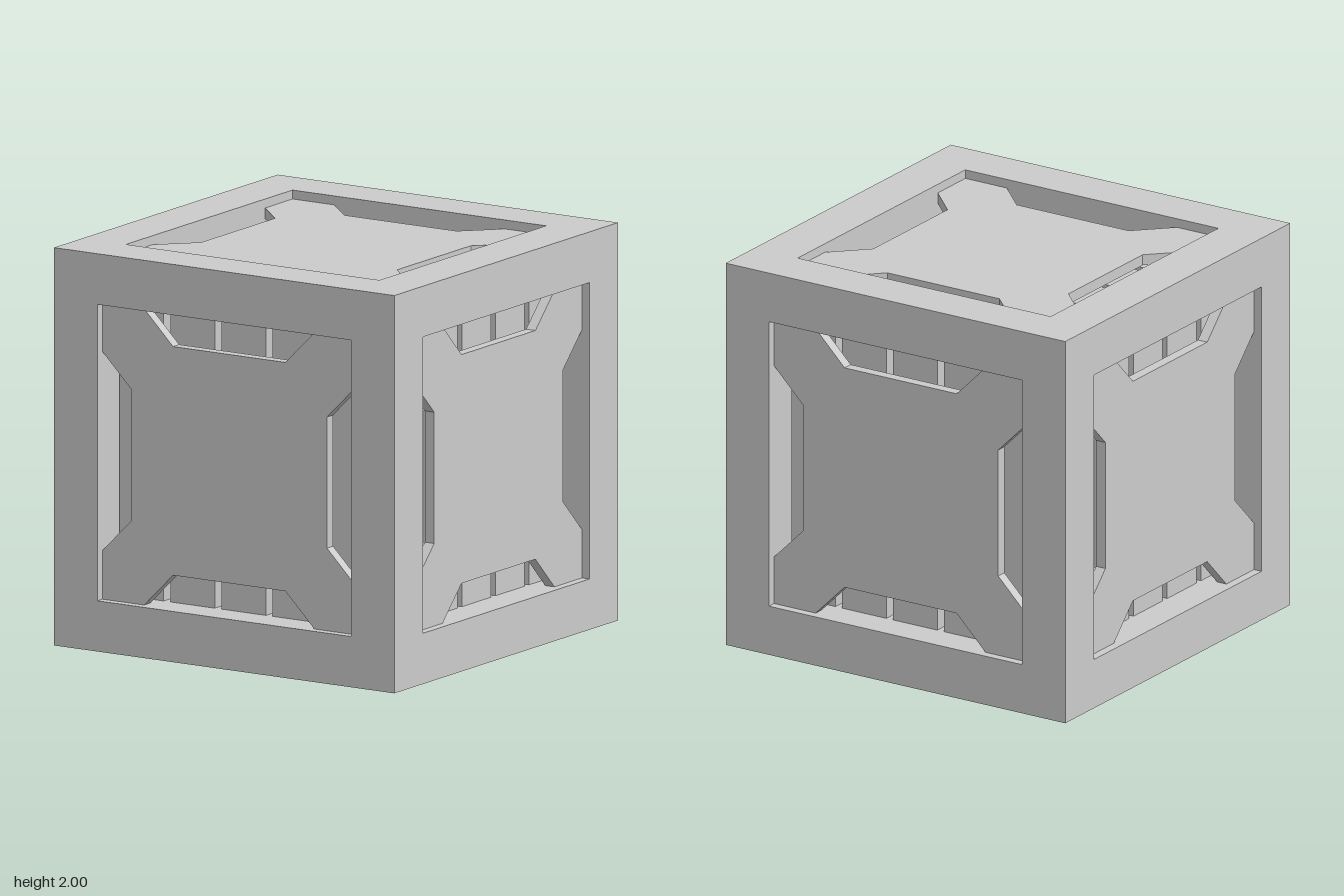
import * as THREE from 'three';

const HALF = 1;        // half size of the cube
const OPEN = 0.745;    // half size of each opening
const SLAT_TOP = 0.825; // outer surface of the slats
const PANEL_TOP = 0.955; // outer surface of the panels
const PANEL_THICK = 0.055;

const material = new THREE.MeshStandardMaterial({ color: 0xcccccc, flatShading: true });

function add(parent, name, geometry, x = 0, y = 0, z = 0) {
  const mesh = new THREE.Mesh(geometry, material);
  mesh.name = name;
  mesh.position.set(x, y, z);
  parent.add(mesh);
  return mesh;
}

function square(h, Type) {
  return new Type([[-h, -h], [h, -h], [h, h], [-h, h]].map(([x, y]) => new THREE.Vector2(x, y)));
}

// Square plate with a bevelled notch in the middle of each side
function panelShape() {
  const side = [[-OPEN, -OPEN], [-0.5, -OPEN], [-0.33, -0.575], [0.33, -0.575], [0.5, -OPEN]];
  const points = [];
  for (let i = 0; i < 4; i++) {
    for (const [x, y] of side) {
      points.push(new THREE.Vector2(x, y).rotateAround(new THREE.Vector2(), i * Math.PI / 2));
    }
  }
  return new THREE.Shape(points);
}

// One side of the crate, facing +z, with upright slats
function buildSide(name) {
  const side = new THREE.Group();
  side.name = name;

  // Flat border around the opening
  const ring = square(HALF, THREE.Shape);
  ring.holes.push(square(OPEN, THREE.Path));
  add(side, 'frameBorder', new THREE.ShapeGeometry(ring), 0, 0, HALF);

  // Inner walls of the opening
  const depth = HALF - OPEN;
  for (let i = 0; i < 4; i++) {
    const wall = new THREE.PlaneGeometry(2 * OPEN, depth);
    wall.rotateX(-Math.PI / 2).translate(0, -OPEN, HALF - depth / 2).rotateZ(i * Math.PI / 2);
    add(side, 'frameWall', wall);
  }

  // Slats behind the panel
  for (let i = -2; i <= 2; i++) {
    add(side, 'slat', new THREE.BoxGeometry(0.26, 2 * OPEN, SLAT_TOP - OPEN),
      i * 0.3, 0, (SLAT_TOP + OPEN) / 2);
  }

  // Notched cover panel
  add(side, 'panel', new THREE.ExtrudeGeometry(panelShape(), { depth: PANEL_THICK, bevelEnabled: false }),
    0, 0, PANEL_TOP - PANEL_THICK);
  return side;
}

export function createModel() {
  const crate = new THREE.Group();
  crate.name = 'crate';
  const body = new THREE.Group();
  body.name = 'body';
  body.position.y = HALF;
  crate.add(body);

  // Solid core closing the gaps between slats
  add(body, 'core', new THREE.BoxGeometry(2 * OPEN, 2 * OPEN, 2 * OPEN));

  // Four upright sides
  ['frontSide', 'leftSide', 'backSide', 'rightSide'].forEach((name, i) => {
    const side = buildSide(name);
    side.rotation.y = i * Math.PI / 2;
    body.add(side);
  });

  // Top and bottom, with slats running from left to right
  [['topSide', -1], ['bottomSide', 1]].forEach(([name, sign]) => {
    const side = buildSide(name);
    side.rotation.set(sign * Math.PI / 2, 0, Math.PI / 2);
    body.add(side);
  });
  return crate;
}
